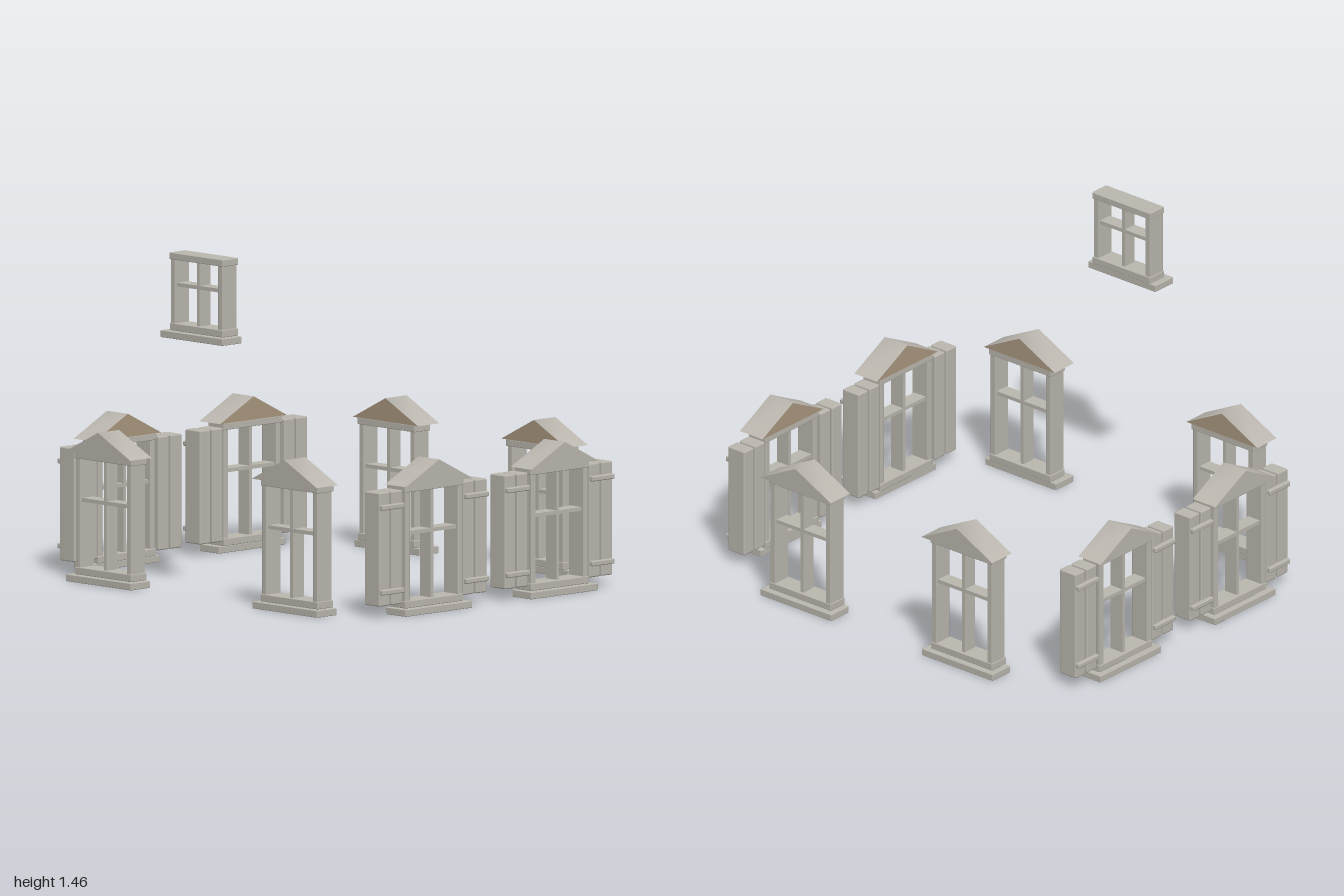
import * as THREE from 'three';
import { RoundedBoxGeometry } from 'three/addons/geometries/RoundedBoxGeometry.js';
import { toCreasedNormals } from 'three/addons/utils/BufferGeometryUtils.js';

const stone = new THREE.MeshStandardMaterial({ color: 0xbcb8b0 });
stone.name = 'grey stone';
const tan = new THREE.MeshStandardMaterial({ color: 0xaa9880 });
tan.name = 'tan backing';

// Slightly chamfered bar given by its extents
function bar(parent, name, x0, x1, y0, y1, z0, z1, bevel = 0.003) {
  const w = x1 - x0, h = y1 - y0, d = z1 - z0;
  const geo = bevel ? new RoundedBoxGeometry(w, h, d, 1, bevel) : new THREE.BoxGeometry(w, h, d);
  const mesh = new THREE.Mesh(geo, stone);
  mesh.name = name;
  mesh.position.set((x0 + x1) / 2, (y0 + y1) / 2, (z0 + z1) / 2);
  parent.add(mesh);
}

// Sill, rails, jambs and crossing glazing bars; faces +z, base at y = 0
function frame(group, half, sillHalf, top, barY) {
  bar(group, 'sill', -sillHalf, sillHalf, 0, 0.03, -0.042, 0.073);
  bar(group, 'bottomRail', -half - 0.003, half + 0.003, 0.03, 0.061, -0.047, 0.046);
  bar(group, 'lintel', -half - 0.005, half + 0.005, top - 0.029, top, -0.047, 0.046);
  for (const s of [-1, 1]) {
    const xc = s * (half - 0.0135);
    bar(group, 'jamb', xc - 0.0135, xc + 0.0135, 0.058, top - 0.026, -0.042, 0.043);
  }
  bar(group, 'verticalGlazingBar', -0.008, 0.008, 0.058, top - 0.026, -0.032, 0.032, 0);
  bar(group, 'horizontalGlazingBar', -half + 0.02, half - 0.02, barY - 0.008, barY + 0.008, -0.032, 0.032, 0);
}

// Triangular roof with tan back and underside
function pediment(group) {
  const half = 0.196, y0 = 0.551, y1 = 0.65, z0 = -0.05, z1 = 0.075;
  const tri = new THREE.Shape([
    new THREE.Vector2(-half, y0), new THREE.Vector2(half, y0), new THREE.Vector2(0, y1),
  ]);
  const geo = new THREE.ExtrudeGeometry(tri, { depth: z1 - z0, bevelEnabled: false });
  const roof = new THREE.Mesh(toCreasedNormals(geo, Math.PI / 3), stone);
  roof.name = 'pediment';
  roof.position.z = z0;
  const back = new THREE.Mesh(new THREE.ShapeGeometry(tri), tan);
  back.name = 'pedimentBack';
  back.rotation.y = Math.PI;
  back.position.z = z0 - 0.001;
  const soffit = new THREE.Mesh(new THREE.PlaneGeometry(half * 2, z1 - z0), tan);
  soffit.name = 'soffit';
  soffit.rotation.x = Math.PI / 2;
  soffit.position.set(0, y0 - 0.001, (z0 + z1) / 2);
  group.add(roof, back, soffit);
}

// Two boards joined by two battens, on each side
function shutters(group) {
  for (const s of [-1, 1]) {
    const shutter = new THREE.Group();
    shutter.name = s > 0 ? 'leftShutter' : 'rightShutter';
    for (const c of [0.211, 0.284]) {
      bar(shutter, 'board', s * c - 0.032, s * c + 0.032, 0.051, 0.534, -0.052, 0.038, 0.006);
    }
    for (const y of [0.111, 0.471]) {
      bar(shutter, 'batten', s * 0.2475 - 0.066, s * 0.2475 + 0.066, y - 0.011, y + 0.011, 0.03, 0.055, 0.005);
    }
    group.add(shutter);
  }
}

function gabledWindow(name, x, z, angle, withShutters) {
  const group = new THREE.Group();
  group.name = name;
  frame(group, 0.167, 0.196, 0.551, 0.347);
  pediment(group);
  if (withShutters) shutters(group);
  group.position.set(x, 0, z);
  group.rotation.y = angle;
  return group;
}

export function createModel() {
  const model = new THREE.Group();
  model.name = 'houseWindows';
  for (const s of [-1, 1]) {
    model.add(gabledWindow('frontWindow', s * 0.561, 0.776, 0, false));
    model.add(gabledWindow('backWindow', s * 0.447, -0.776, Math.PI, false));
    for (const t of [-1, 1]) {
      model.add(gabledWindow('sideWindow', s * 0.925, t * 0.369, s * Math.PI / 2, true));
    }
  }
  // Small upper window without a roof
  const upper = new THREE.Group();
  upper.name = 'upperWindow';
  frame(upper, 0.156, 0.186, 0.36, 0.225);
  upper.position.set(0, 1.095, 0.776);
  model.add(upper);
  return model;
}
